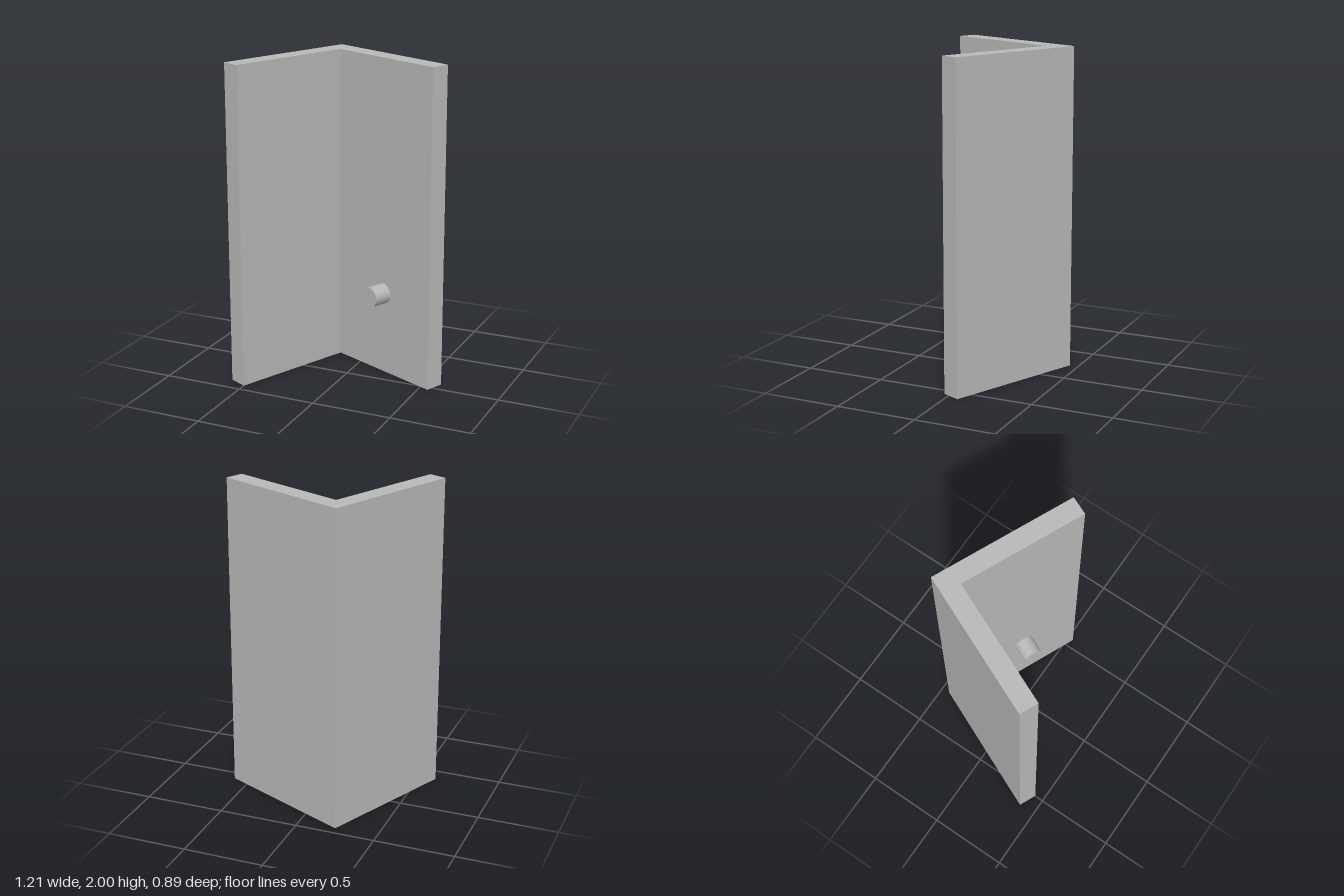
import * as THREE from 'three';

export function createModel() {
  const model = new THREE.Group();
  model.name = 'cornerBracket';
  const grey = new THREE.MeshStandardMaterial({ color: 0xb8b8b8 });
  grey.name = 'plain grey';

  // L-shaped plan, given as (x, z), extruded to the full height
  const plan = [
    [-0.235, -0.445], [0.605, -0.073], [0.556, 0.036],
    [-0.175, -0.288], [-0.498, 0.442], [-0.606, 0.393],
  ].map(([x, z]) => new THREE.Vector2(x, z));
  const height = 2;
  const wallGeometry = new THREE.ExtrudeGeometry(new THREE.Shape(plan), {
    depth: height, bevelEnabled: false,
  });
  wallGeometry.rotateX(Math.PI / 2).translate(0, height, 0);
  const walls = new THREE.Mesh(wallGeometry, grey);
  walls.name = 'angledWalls';
  model.add(walls);

  // Round peg standing square to the inner face, rooted a little into the wall
  const tip = new THREE.Vector3(0.144, 0.522, -0.016);
  const axis = new THREE.Vector3(-0.406, 0, 0.914).normalize();
  const length = 0.14;
  const peg = new THREE.Mesh(new THREE.CylinderGeometry(0.063, 0.063, length, 48), grey);
  peg.name = 'peg';
  peg.quaternion.setFromUnitVectors(new THREE.Vector3(0, 1, 0), axis);
  peg.position.copy(tip).addScaledVector(axis, -length / 2);
  model.add(peg);

  return model;
}
